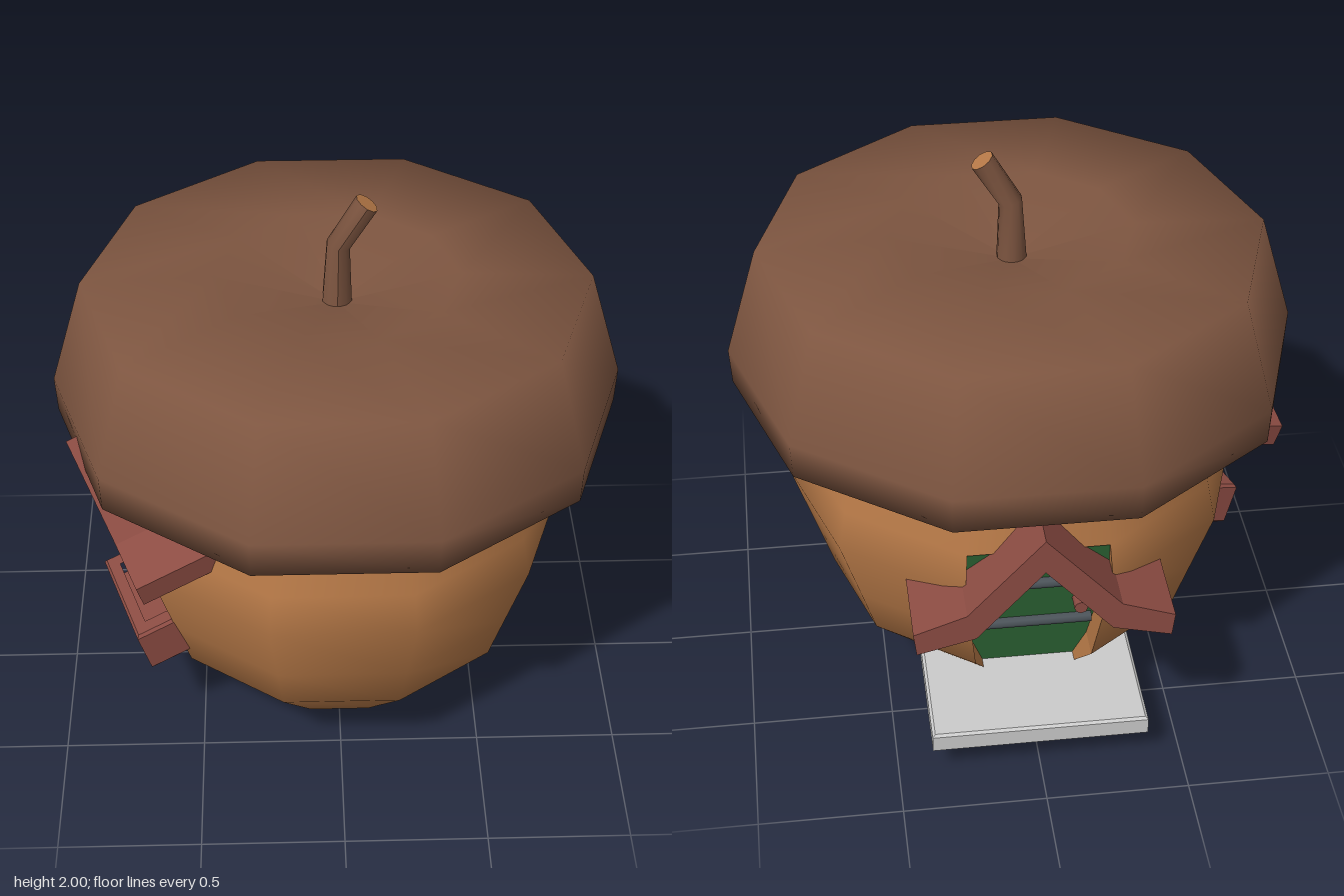
import * as THREE from 'three';

const mat = (color, extra = {}) => new THREE.MeshStandardMaterial({ color, ...extra });
const SIDES = 10, HALF = Math.PI / SIDES;

// Shell radius at each ring height (corner radius of the decagon)
const SHELL = [[0.35, 0], [0.448, 0.1], [0.665, 0.32], [0.724, 0.5], [0.81, 0.76], [0.78, 0.9], [0.73, 1.14], [0.7, 1.25]];

function lathe(points) {
  return new THREE.LatheGeometry(points.map(p => new THREE.Vector2(...p)), SIDES, Math.PI / 2);
}

export function createModel() {
  const model = new THREE.Group();
  const shellMat = mat(0xb87a48);
  const innerMat = mat(0xb87a48, { side: THREE.DoubleSide });
  const capMat = mat(0x7d5540);
  const roofMat = mat(0x8c4c43);
  const greenMat = mat(0x36783f, { side: THREE.DoubleSide });
  const ironMat = mat(0x4c545a);

  const add = (parent, name, geo, material, x = 0, y = 0, z = 0) => {
    const mesh = new THREE.Mesh(geo, material);
    mesh.name = name;
    mesh.position.set(x, y, z);
    parent.add(mesh);
    return mesh;
  };
  const facing = (name, phi) => {
    const g = new THREE.Group();
    g.name = name;
    g.rotation.y = phi;
    model.add(g);
    return g;
  };

  // Acorn shell, with the facets of the door and window left open
  const shellPts = [[0, 0], ...SHELL];
  const shell = lathe(shellPts);
  const openings = { 2: [0.1, 0.9], 5: [0.5, 0.9] };
  const kept = [];
  const rows = shellPts.length - 1;
  for (let i = 0; i < SIDES; i++) for (let j = 0; j < rows; j++) {
    const o = openings[i];
    if (o && j > 0 && shellPts[j][1] >= o[0] && shellPts[j + 1][1] <= o[1]) continue;
    for (let k = 0; k < 6; k++) kept.push(shell.index.getX((i * rows + j) * 6 + k));
  }
  shell.setIndex(kept);
  add(model, 'acornShell', shell, shellMat);

  // Cap with a dimple in its top
  add(model, 'acornCap', lathe([[0, 1.14], [0.7, 1.14], [0.983, 1.16], [0.99, 1.29], [0.875, 1.68], [0.42, 1.7], [0, 1.59]]), capMat);

  // Bent stem: three rings, each with its own centre, tilt and radius
  const stem = new THREE.CylinderGeometry(1, 1, 2, 10, 2);
  const rings = [[0, 1.56, 0, 0.055], [0.005, 1.82, 0.28, 0.042], [0.1, 1.977, 0.59, 0.043]];
  const sp = stem.attributes.position;
  for (let i = 0; i < sp.count; i++) {
    const [cx, cy, tilt, r] = rings[Math.round(sp.getY(i)) + 1];
    const x = sp.getX(i) * r;
    sp.setXYZ(i, cx + x * Math.cos(tilt), cy - x * Math.sin(tilt), sp.getZ(i) * r);
  }
  stem.computeVertexNormals();
  add(model, 'stem', stem, [capMat, shellMat, capMat]);

  // Recess behind an opening: side walls from the shell edge to a sloping back panel
  function recess(parent, y0, y1, depthAt, panelName, panelMat) {
    const levels = SHELL.filter(([, y]) => y >= y0 && y <= y1);
    const point = (k, side, back) => {
      const [r, y] = levels[k];
      return [side * r * Math.sin(HALF), y, back ? depthAt(y) : r * Math.cos(HALF)];
    };
    const walls = [], panel = [];
    const quad = (out, a, b, c, d) => out.push(...a, ...b, ...c, ...a, ...c, ...d);
    const top = levels.length - 1;
    for (let k = 0; k < top; k++) {
      quad(panel, point(k, -1, true), point(k, 1, true), point(k + 1, 1, true), point(k + 1, -1, true));
      quad(walls, point(k, -1, false), point(k, -1, true), point(k + 1, -1, true), point(k + 1, -1, false));
      quad(walls, point(k, 1, true), point(k, 1, false), point(k + 1, 1, false), point(k + 1, 1, true));
    }
    quad(walls, point(0, -1, false), point(0, 1, false), point(0, 1, true), point(0, -1, true));
    quad(walls, point(top, -1, true), point(top, 1, true), point(top, 1, false), point(top, -1, false));
    for (const [name, data, m] of [[parent.name + 'Jambs', walls, innerMat], [panelName, panel, panelMat]]) {
      const geo = new THREE.BufferGeometry();
      geo.setAttribute('position', new THREE.Float32BufferAttribute(data, 3));
      geo.computeVertexNormals();
      add(parent, name, geo, m);
    }
  }

  // Gabled roof with flared eaves, its base line at y = 0 and its front at z = 0
  function gable(length) {
    const half = [[0, 0.44], [0.26, 0.15], [0.44, 0.085], [0.43, 0], [0.23, 0.05], [0, 0.31]];
    const outline = [...half, ...half.slice(1, 5).reverse().map(([x, y]) => [-x, y])];
    const shape = new THREE.Shape(outline.map(p => new THREE.Vector2(...p)));
    return new THREE.ExtrudeGeometry(shape, { depth: length, bevelEnabled: false }).translate(0, 0, -length);
  }

  // Back entrance
  const entrance = facing('entrance', Math.PI);
  const doorDepth = y => 0.43 + 0.38 * (y - 0.1);
  recess(entrance, 0.1, 0.9, doorDepth, 'door', greenMat);
  for (const y of [0.7, 0.45]) {
    const strap = new THREE.CylinderGeometry(0.02, 0.02, 0.42, 8).rotateZ(Math.PI / 2);
    add(entrance, 'doorStrap', strap, ironMat, 0, y, doorDepth(y) + 0.012);
  }
  add(entrance, 'doorKnob', new THREE.CylinderGeometry(0.024, 0.024, 0.06, 8).rotateX(Math.PI / 2), roofMat, 0.16, 0.57, doorDepth(0.57) + 0.03);
  add(entrance, 'doorRoof', gable(0.4), roofMat, 0, 0.632, 0.91);

  // Doorstep slab with a fine bevel
  const slab = new THREE.Shape([[-0.37, 0.34], [0.37, 0.34], [0.37, 0.83], [-0.37, 0.83]].map(p => new THREE.Vector2(...p)));
  const step = new THREE.ExtrudeGeometry(slab, { depth: 0.06, bevelThickness: 0.008, bevelSize: 0.01, bevelSegments: 1 });
  add(entrance, 'doorstep', step.rotateX(Math.PI / 2), mat(0xcccccc), 0, 0.178, 0);

  // Side window, its roof and flower box leaning with the wall
  const windowBay = facing('window', -Math.PI / 2 + HALF);
  recess(windowBay, 0.5, 0.9, y => 0.6 + 0.28 * (y - 0.5), 'windowPanel', innerMat);
  const lean = new THREE.Group();
  lean.name = 'windowFittings';
  lean.position.set(0, 0.54, 0.7);
  lean.rotation.x = 0.305;
  windowBay.add(lean);
  add(lean, 'windowRoof', gable(0.36), roofMat, 0, 0.31, 0.055);

  // Flower box: open rim over a floor
  const rect = (Type, w, z0, z1) => new Type([[-w, -z0], [w, -z0], [w, -z1], [-w, -z1]].map(p => new THREE.Vector2(...p)));
  const rim = rect(THREE.Shape, 0.22, -0.08, 0.13);
  rim.holes.push(rect(THREE.Path, 0.17, -0.04, 0.09));
  const box = new THREE.ExtrudeGeometry(rim, { depth: 0.15, bevelThickness: 0.01, bevelSize: 0.01, bevelSegments: 1 });
  add(lean, 'flowerBox', box.rotateX(-Math.PI / 2), roofMat, 0, -0.16, 0);
  add(lean, 'flowerBoxFloor', new THREE.BoxGeometry(0.4, 0.09, 0.19), roofMat, 0, -0.12, 0.025);

  return model;
}
